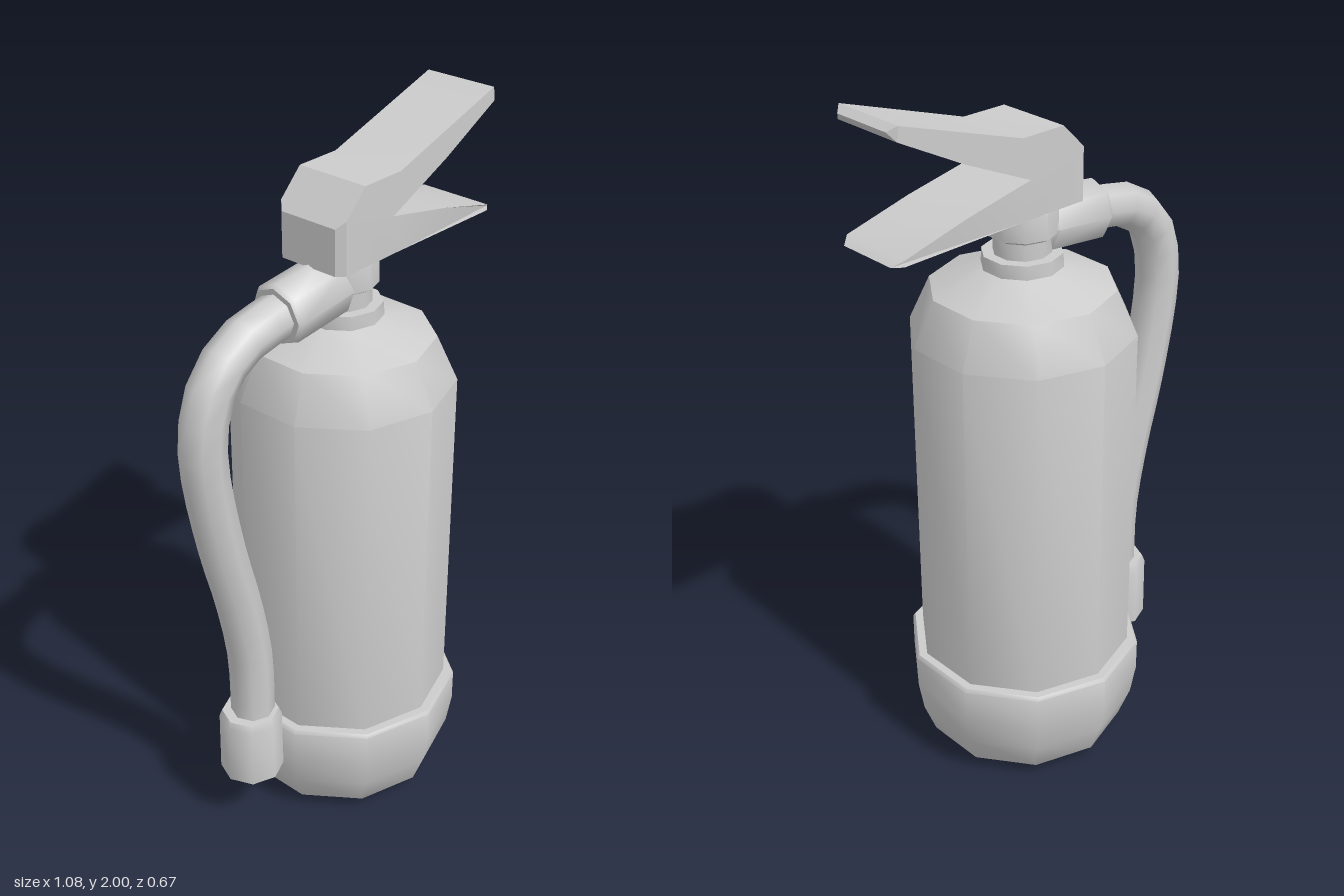
import * as THREE from 'three';
import { toCreasedNormals } from 'three/addons/utils/BufferGeometryUtils.js';

const AXIS_X = 0.04; // centre line of the cylinder
const material = new THREE.MeshStandardMaterial({ color: 0xcccccc });

function addPart(group, name, geometry, crease = 0.7) {
  const mesh = new THREE.Mesh(toCreasedNormals(geometry, crease), material);
  mesh.name = name;
  group.add(mesh);
  return mesh;
}

// Low-poly turned part from [radius, height] pairs, bottom to top
function turned(profile, sides) {
  return new THREE.LatheGeometry(profile.map(([r, y]) => new THREE.Vector2(r, y)), sides);
}

// Two-lever handle: side profile extruded, its end corners clipped in plan
function handleGeometry() {
  const outline = [
    [-0.09, 1.665], [-0.07, 1.665], [0.13, 1.665], [0.51, 1.66], [0.535, 1.66],
    [0.51, 1.676], [0.32, 1.725], [0.11, 1.768], [0.32, 1.862], [0.515, 1.963],
    [0.53, 1.985], [0.51, 2.0], [0.135, 1.88], [0, 1.88], [-0.07, 1.81], [-0.09, 1.79],
  ];
  const half = 0.108;
  const shape = new THREE.Shape(outline.map(([x, y]) => new THREE.Vector2(x, y)));
  const geometry = new THREE.ExtrudeGeometry(shape, { depth: 2 * half, bevelEnabled: false });
  geometry.translate(0, 0, -half);
  const p = geometry.attributes.position;
  for (let i = 0; i < p.count; i++) {
    const x = p.getX(i);
    if (x < -0.08 || x > 0.52) p.setZ(i, Math.sign(p.getZ(i)) * (half - 0.02));
  }
  return geometry;
}

export function createModel() {
  const model = new THREE.Group();
  model.name = 'fireExtinguisher';

  // Ten-sided cylinder, shoulder and neck
  addPart(model, 'tank', turned([
    [0.307, 0.3], [0.307, 1.31], [0.25, 1.435], [0.11, 1.492], [0.108, 1.53], [0, 1.53],
  ], 10)).position.x = AXIS_X;

  // Rounded boot with a rim
  addPart(model, 'base', turned([
    [0, 0.005], [0.215, 0], [0.24, 0.007], [0.288, 0.04], [0.322, 0.13],
    [0.337, 0.22], [0.337, 0.315], [0.33, 0.325], [0.3, 0.325],
  ], 10)).position.x = AXIS_X;

  // Valve stem and collar below the handle
  addPart(model, 'valve', turned([
    [0.078, 1.5], [0.078, 1.575], [0.095, 1.585], [0.095, 1.655], [0.088, 1.67], [0, 1.67],
  ], 10)).position.x = AXIS_X;

  addPart(model, 'handle', handleGeometry(), 0.5);

  // Hose
  const path = new THREE.CatmullRomCurve3([
    [-0.17, 1.58], [-0.24, 1.57], [-0.35, 1.545], [-0.435, 1.475], [-0.477, 1.36],
    [-0.477, 1.235], [-0.43, 0.98], [-0.378, 0.78], [-0.342, 0.58], [-0.338, 0.36],
  ].map(([x, y]) => new THREE.Vector3(x, y, 0)));
  addPart(model, 'hose', new THREE.TubeGeometry(path, 18, 0.062, 8), 0.9);

  // Ferrule joining hose and valve
  const ferrule = addPart(model, 'hoseFerrule', turned([
    [0, 0], [0.078, 0], [0.085, 0.012], [0.085, 0.2], [0.076, 0.212], [0, 0.212],
  ], 8), 0.9);
  ferrule.position.set(-0.212, 1.574, 0);
  ferrule.rotation.z = -Math.PI / 2 + 0.1;

  // Nozzle at the lower end of the hose
  addPart(model, 'nozzle', turned([
    [0, 0.19], [0.09, 0.19], [0.088, 0.375], [0.08, 0.395], [0, 0.395],
  ], 8), 0.9).position.x = -0.348;

  return model;
}
